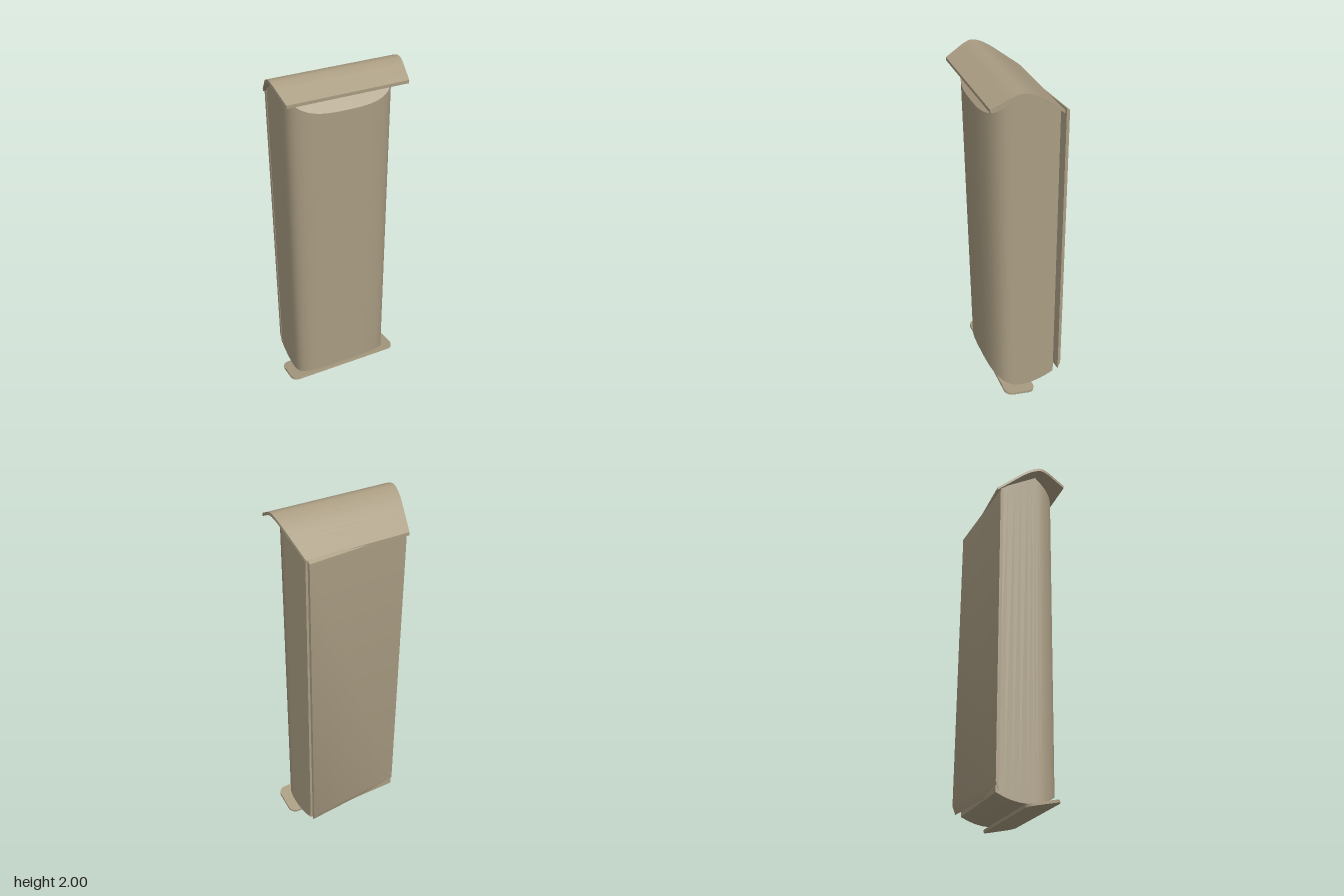
import * as THREE from 'three';
import { toCreasedNormals } from 'three/addons/utils/BufferGeometryUtils.js';

// Lofts rectangular sections { z, w (half width), b (bottom), t (top) }, listed back to front.
// The whole stack leans slightly to one side and forward.
function loft(sections) {
  const pos = [];
  const put = ([x, y, z]) => pos.push(x - 0.0115 * (y - 1), y, z + 0.0055 * (y - 1));
  const quad = (a, b, c, d) => [a, b, c, a, c, d].forEach(put);
  const ring = (s) => [[-s.w, s.b, s.z], [-s.w, s.t, s.z], [s.w, s.t, s.z], [s.w, s.b, s.z]];
  for (let i = 0; i < sections.length - 1; i++) {
    const p = ring(sections[i]);
    const q = ring(sections[i + 1]);
    for (let k = 0; k < 4; k++) {
      const n = (k + 1) % 4;
      quad(p[k], q[k], q[n], p[n]);
    }
  }
  const back = ring(sections[0]);
  quad(...back);
  const front = ring(sections[sections.length - 1]);
  if (sections[sections.length - 1].w > 0) quad(...front.reverse());
  const geo = new THREE.BufferGeometry();
  geo.setAttribute('position', new THREE.Float32BufferAttribute(pos, 3));
  return toCreasedNormals(geo, 0.55);
}

export function createModel() {
  const group = new THREE.Group();
  const tan = new THREE.MeshStandardMaterial({ name: 'tan', color: 0xa99c82 });
  const add = (name, geo) => {
    const mesh = new THREE.Mesh(geo, tan);
    mesh.name = name;
    group.add(mesh);
    return mesh;
  };

  // Body: flat back, rounded front, gabled top and curved underside
  const section = (z, w) => ({
    z, w,
    b: 0.028 + (z > 0 ? 2.05 : 1.6) * z * z,
    t: 1.975 - (z > 0.05 ? 0.93 * (z - 0.05) : 0.57 * (0.05 - z)),
  });
  const body = [-0.165, -0.12, -0.08, -0.04, 0, 0.03].map((z) => section(z, 0.29));
  const steps = 28;
  for (let i = 0; i <= steps; i++) {
    const a = (i / steps) * Math.PI / 2;
    const w = i === steps ? 0 : 0.29 * Math.cos(a) ** (2 / 3);
    body.push(section(0.05 + 0.15 * Math.sin(a) ** (2 / 3), w));
  }
  add('body', loft(body));

  // Back door: thin panel standing slightly open on the left
  const door = add('backDoor', loft([
    { z: -0.018, w: 0.294, b: 0.125, t: 1.838 },
    { z: 0, w: 0.294, b: 0.08, t: 1.85 },
  ]));
  door.rotation.y = 0.08;
  door.position.z = -0.172;

  // Roof: bent sheet that is wider where it is higher
  const curve = new THREE.CatmullRomCurve3([
    [-0.185, 1.845], [-0.11, 1.902], [-0.025, 1.965], [0.025, 1.991], [0.065, 2],
    [0.105, 1.99], [0.15, 1.968], [0.216, 1.934],
  ].map(([z, y]) => new THREE.Vector3(0, y, z)));
  add('roof', loft(curve.getPoints(32).map(({ y, z }) => (
    { z, w: 0.352 - 0.36 * (2 - y), b: y - 0.017, t: y }
  ))));

  // Foot plate: rounded rectangle, tilted up at the front
  const hx = 0.348;
  const hz = 0.097;
  const r = 0.045;
  const shape = new THREE.Shape();
  shape.absarc(hx - r, hz - r, r, 0, Math.PI / 2);
  shape.absarc(-hx + r, hz - r, r, Math.PI / 2, Math.PI);
  shape.absarc(-hx + r, -hz + r, r, Math.PI, Math.PI * 1.5);
  shape.absarc(hx - r, -hz + r, r, Math.PI * 1.5, Math.PI * 2);
  const plate = new THREE.ExtrudeGeometry(shape, { depth: 0.015, bevelEnabled: false, curveSegments: 10 });
  plate.rotateX(-Math.PI / 2);
  const foot = add('footPlate', toCreasedNormals(plate, 0.55));
  foot.rotation.x = -0.2;
  foot.position.set(0.0125, 0.0195, 0.066);

  return group;
}
